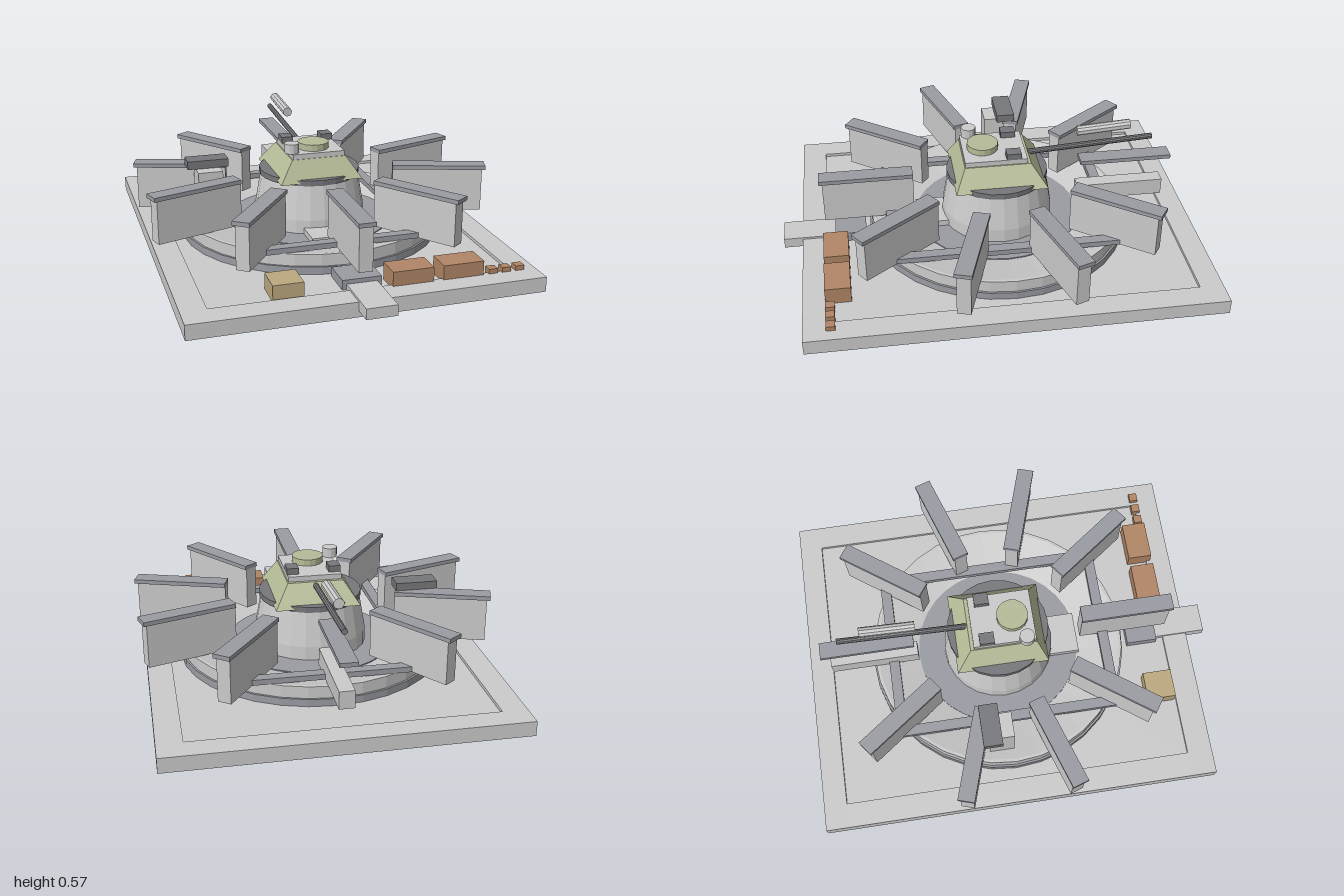
import * as THREE from 'three';

const CZ = -0.05; // centre of the round emplacement
const mat = (color) => new THREE.MeshStandardMaterial({ color, flatShading: true });

export function createModel() {
  const root = new THREE.Group();
  const grey = mat(0xcccccc), steel = mat(0x9a9ca3), dark = mat(0x77787c);
  const olive = mat(0xb6bd99), brown = mat(0xb28666), tan = mat(0xbda980);

  const add = (name, geo, material, x = 0, y = 0, z = 0, parent = root) => {
    const m = new THREE.Mesh(geo, material);
    m.name = name;
    m.position.set(x, y, z);
    parent.add(m);
    return m;
  };
  // box given by its limits on each axis
  const box = (name, material, x0, x1, y0, y1, z0, z1, parent = root) =>
    add(name, new THREE.BoxGeometry(x1 - x0, y1 - y0, z1 - z0), material,
      (x0 + x1) / 2, (y0 + y1) / 2, (z0 + z1) / 2, parent);
  const lathe = (name, material, points, segments) =>
    add(name, new THREE.LatheGeometry(points.map((p) => new THREE.Vector2(...p)), segments), material, 0, 0, CZ);
  // cylinder between two points in the x = 0 plane
  const rod = (name, material, radius, z0, y0, z1, y1, sides) => {
    const a = new THREE.Vector3(0, y0, z0), b = new THREE.Vector3(0, y1, z1);
    const m = add(name, new THREE.CylinderGeometry(radius, radius, a.distanceTo(b), sides), material);
    m.position.copy(a).add(b).multiplyScalar(0.5);
    m.quaternion.setFromUnitVectors(new THREE.Vector3(0, 1, 0), b.sub(a).normalize());
  };

  // ground slab with a raised border
  box('slab', grey, -0.8, 0.8, 0, 0.055, -1, 0.91);
  box('frontBorder', grey, -0.8, 0.8, 0.055, 0.07, 0.79, 0.91);
  box('backBorder', grey, -0.8, 0.8, 0.055, 0.07, -1, -0.89);
  for (const s of [-1, 1]) {
    box('sideBorder', grey, s * 0.7425 - 0.0575, s * 0.7425 + 0.0575, 0.055, 0.07, -0.89, 0.79);
  }

  // entrance step and threshold
  box('entranceStep', grey, -0.07, 0.07, 0.03, 0.08, 0.72, 1);
  box('threshold', steel, -0.09, 0.09, 0.055, 0.1, 0.6, 0.75);

  // round pit: flange, upright wall, sloped inside and flat inner deck
  lathe('pitFlange', steel, [[0.63, 0.055], [0.63, 0.09], [0.6, 0.09]], 32);
  lathe('pitWall', grey, [[0.62, 0.055], [0.62, 0.147], [0.605, 0.147], [0.4, 0.1]], 32);
  lathe('innerDeck', steel, [[0.4, 0.1], [0.4, 0.105], [0.2, 0.105]], 32);

  // rectangular beam frame over the pit
  for (const s of [-1, 1]) {
    const z = CZ + s * 0.525, x = s * 0.395;
    box('crossBeam', steel, -0.42, 0.42, 0.146, 0.172, z - 0.025, z + 0.025);
    box('sideBeam', steel, x - 0.025, x + 0.025, 0.146, 0.172, CZ - 0.5, CZ + 0.5);
  }

  // ten radial walls with caps; the rear one has only a low block under its cap
  for (let i = 0; i < 10; i++) {
    const wing = new THREE.Group();
    wing.name = 'radialWall';
    wing.position.z = CZ;
    wing.rotation.y = (i * Math.PI) / 5;
    root.add(wing);
    box('wallCap', steel, -0.04, 0.04, 0.355, 0.375, 0.41, 0.86, wing);
    if (i === 5) box('lowBlock', grey, -0.035, 0.035, 0.147, 0.23, 0.4, 0.83, wing);
    else box('wallPanel', grey, -0.032, 0.032, 0.147, 0.355, 0.41, 0.845, wing);
  }

  // drum under the turret
  lathe('drum', grey, [[0.27, 0.08], [0.268, 0.17], [0.238, 0.34]], 24);
  lathe('turretRing', dark, [[0.2, 0.335], [0.245, 0.335], [0.245, 0.362], [0, 0.362]], 24);
  box('drumStep', grey, -0.1, 0.1, 0.08, 0.135, 0.2, 0.345);

  // turret: a box tapered towards its top
  const hull = new THREE.BoxGeometry(0.4, 0.105, 0.44);
  const p = hull.attributes.position;
  for (let i = 0; i < p.count; i++) {
    if (p.getY(i) > 0) {
      p.setX(i, p.getX(i) * 0.66);
      p.setZ(i, p.getZ(i) * 0.72 + 0.012);
    }
  }
  hull.computeVertexNormals();
  add('turretHull', hull, olive, 0, 0.3975, CZ);
  box('turretRoof', grey, -0.127, 0.127, 0.445, 0.475, -0.18, 0.118);

  // roof fittings
  add('hatch', new THREE.CylinderGeometry(0.075, 0.075, 0.032, 16), olive, 0, 0.49, 0.02);
  add('periscope', new THREE.CylinderGeometry(0.036, 0.036, 0.046, 12), grey, -0.122, 0.498, 0.073);
  for (const s of [-1, 1]) {
    box('roofBox', dark, s * 0.1 - 0.028, s * 0.1 + 0.028, 0.474, 0.505, -0.15, -0.08);
  }

  // gun
  rod('gunBarrel', dark, 0.014, -0.16, 0.43, -0.815, 0.471, 10);
  rod('upperSleeve', grey, 0.024, -0.44, 0.53, -0.7, 0.548, 10);

  // pillar with a box on top, on the right-hand side
  box('sidePillar', grey, -0.55, -0.43, 0.1, 0.37, -0.17, -0.05);
  box('pillarBox', dark, -0.59, -0.39, 0.372, 0.412, -0.2, -0.11);

  // stores along the front border
  box('tanCrate', tan, -0.405, -0.268, 0.055, 0.13, 0.64, 0.78);
  for (const x of [0.12, 0.355]) box('brownCrate', brown, x, x + 0.19, 0.055, 0.136, 0.69, 0.808);
  for (const x of [0.593, 0.657, 0.722]) {
    box('smallBox', brown, x - 0.021, x + 0.021, 0.055, 0.092, 0.767, 0.808);
  }
  return root;
}
